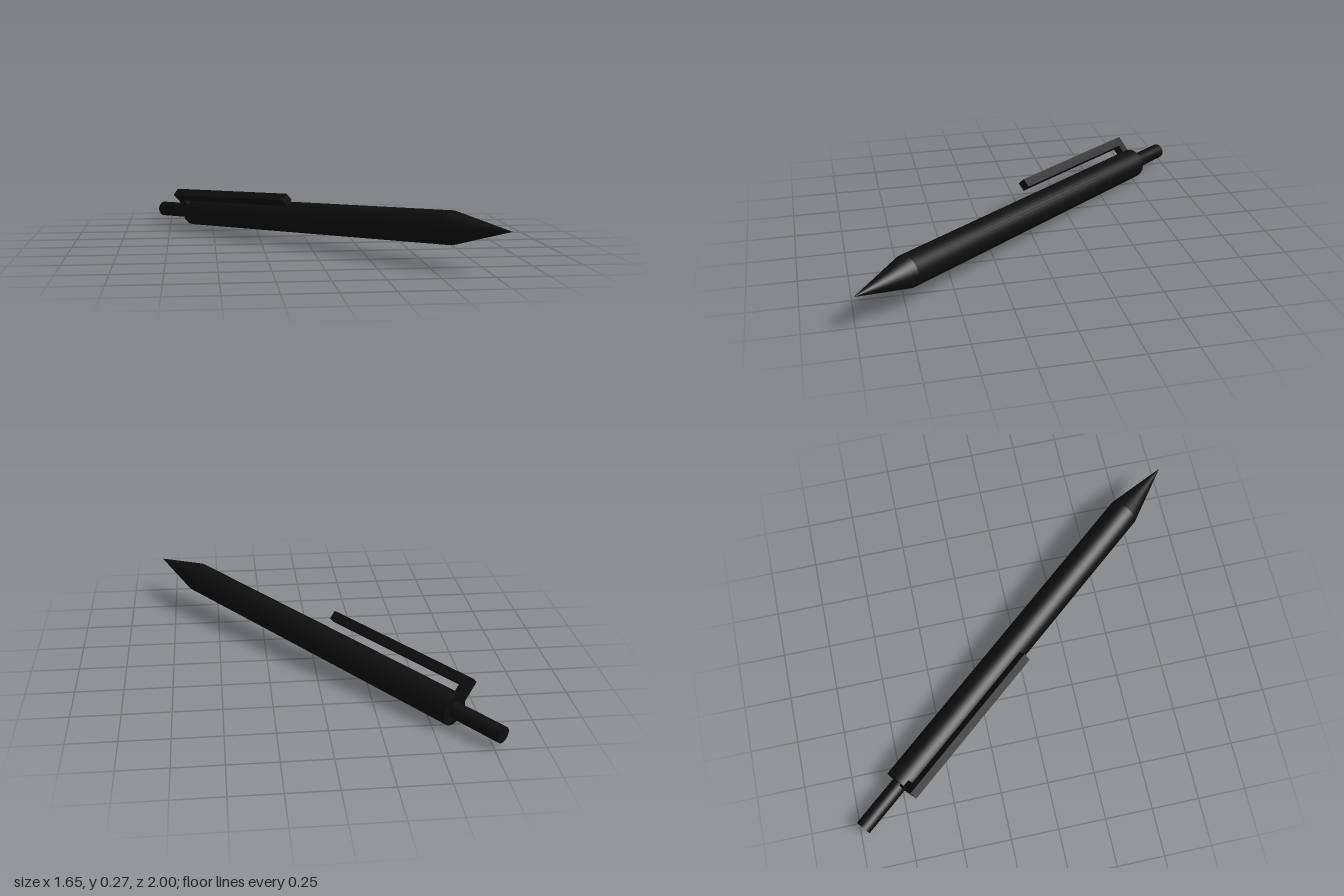
import * as THREE from 'three';

export function createModel() {
  const group = new THREE.Group();
  const black = new THREE.MeshStandardMaterial({ color: 0x0e0e0e });
  black.name = 'black';

  // Pen is built along local z: barrel end at 0, point towards +z
  const pen = new THREE.Group();
  pen.name = 'pen';
  group.add(pen);

  const add = (parent, name, geometry, x, y, z) => {
    const mesh = new THREE.Mesh(geometry, black);
    mesh.name = name;
    mesh.position.set(x, y, z);
    parent.add(mesh);
  };
  const rod = (rTip, rBack, length) =>
    new THREE.CylinderGeometry(rTip, rBack, length, 32).rotateX(Math.PI / 2);

  const R = 0.083, bodyLength = 1.93, tipLength = 0.336, buttonLength = 0.29;
  add(pen, 'barrel', rod(R, R, bodyLength), 0, 0, bodyLength / 2);
  add(pen, 'point', new THREE.ConeGeometry(R, tipLength, 32).rotateX(Math.PI / 2), 0, 0, bodyLength + tipLength / 2);
  add(pen, 'button', rod(0.042, 0.042, buttonLength), 0, 0, -buttonLength / 2);

  // Clip: a bar held off the barrel by an arm at its back end, rolled 45 degrees
  const clip = new THREE.Group();
  clip.name = 'clip';
  clip.rotation.z = Math.PI / 4;
  pen.add(clip);
  const w = 0.047, back = -0.012, front = 0.915, outer = 0.173;
  add(clip, 'clipBar', new THREE.BoxGeometry(w, 0.049, front - back), 0, outer - 0.0245, (front + back) / 2);
  add(clip, 'clipArm', new THREE.BoxGeometry(w, 0.08, 0.05), 0, outer - 0.049 - 0.04, back + 0.025);

  // Lay the pen diagonally, point slightly raised
  const z = new THREE.Vector3(0.631, 0.055, 0.774).normalize();
  const x = new THREE.Vector3(z.z, 0, -z.x).normalize();
  const y = new THREE.Vector3().crossVectors(z, x);
  pen.quaternion.setFromRotationMatrix(new THREE.Matrix4().makeBasis(x, y, z));
  pen.position.set(-0.608, 0.085, -0.755);
  return group;
}
